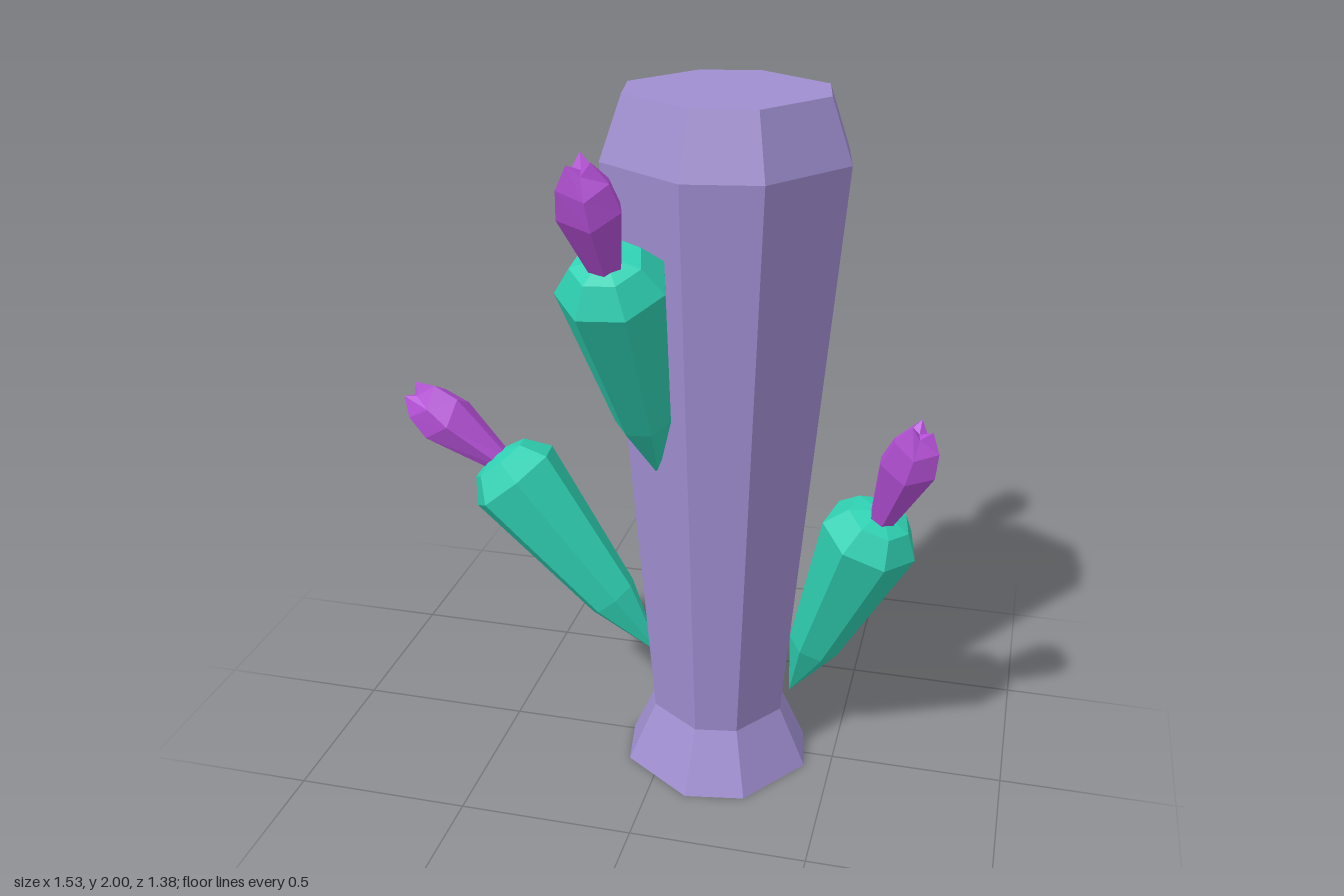
import * as THREE from 'three';

const Y = new THREE.Vector3(0, 1, 0);

// Faceted closed solid: rings are [height, radius], angles in degrees,
// lobe(ringIndex, sideIndex) optionally scales the radius and shifts the height.
function loft(rings, angles, lobe = () => [1, 0]) {
  const pos = [];
  const n = angles.length;
  const point = (i, j) => {
    const k = j % n;
    const [scale, lift] = rings[i][1] ? lobe(i, k) : [1, 0];
    const a = THREE.MathUtils.degToRad(angles[k]);
    const r = rings[i][1] * scale;
    return [r * Math.cos(a), rings[i][0] + lift, r * Math.sin(a)];
  };
  for (let i = 0; i < rings.length - 1; i++) {
    for (let j = 0; j < n; j++) {
      const a = point(i, j), b = point(i, j + 1);
      const c = point(i + 1, j + 1), d = point(i + 1, j);
      if (rings[i + 1][1] > 0) pos.push(...a, ...d, ...c);
      if (rings[i][1] > 0) pos.push(...a, ...c, ...b);
    }
  }
  const geometry = new THREE.BufferGeometry();
  geometry.setAttribute('position', new THREE.Float32BufferAttribute(pos, 3));
  geometry.computeVertexNormals();
  return geometry;
}

const evenAngles = (n, start = 0) => Array.from({ length: n }, (_, i) => start + (i * 360) / n);

function material(name, color) {
  const m = new THREE.MeshStandardMaterial({ color });
  m.name = name;
  return m;
}

// Places a part made along +y so that it runs from one point towards another
function aim(mesh, name, from, to) {
  const a = new THREE.Vector3(...from);
  const dir = new THREE.Vector3(...to).sub(a).normalize();
  mesh.name = name;
  mesh.position.copy(a);
  mesh.quaternion.setFromUnitVectors(Y, dir);
  return mesh;
}

export function createModel() {
  const model = new THREE.Group();
  model.name = 'cactus';
  const trunkColor = material('lavender', 0xa08ed0);
  const armColor = material('teal', 0x2fd0b2);
  const flowerColor = material('violet', 0xb450d6);

  // Trunk: a square with chamfered corners, flared foot and bevelled top
  const trunkAngles = [0, 1, 2, 3].flatMap((k) => [8 + 90 * k, 62 + 90 * k]);
  const trunk = new THREE.Mesh(
    loft([[0, 0], [0, 0.276], [0.18, 0.195], [1.83, 0.338], [2, 0.278], [2, 0]], trunkAngles),
    trunkColor
  );
  trunk.name = 'trunk';
  trunk.position.set(0.15, 0, 0.025);
  model.add(trunk);

  // Arm: pointed root swelling to a blunt, bevelled cap
  const armGeometry = loft(
    [[0, 0], [0.23, 0.078], [0.69, 0.143], [0.76, 0.092], [0.785, 0]],
    evenAngles(7, 12)
  );

  // Flower: narrow stalk opening into alternating long and short petals
  const flowerGeometry = loft(
    [[-0.03, 0], [-0.03, 0.032], [0.19, 0.086], [0.265, 0.07], [0.315, 0.032], [0.295, 0]],
    evenAngles(6, 20),
    (i, k) => (i < 2 ? [1, 0] : k % 2 ? [0.84, -0.02] : [1.03, 0.008])
  );

  const arms = [
    { name: 'front', root: [0.01, 0.98, 0.2], cap: [-0.035, 1.69, 0.525],
      bud: [-0.03, 1.65, 0.525], tip: [-0.055, 1.94, 0.645] },
    { name: 'right', root: [-0.02, 0.32, 0.06], cap: [-0.52, 0.925, 0.052],
      bud: [-0.51, 0.905, 0.05], tip: [-0.745, 1.09, 0.056] },
    { name: 'left', root: [0.34, 0.13, -0.13], cap: [0.61, 0.855, 0.02],
      bud: [0.61, 0.84, 0.03], tip: [0.705, 1.14, 0.08] },
    { name: 'back', root: [0.15, 0.88, -0.2], cap: [0.205, 1.585, -0.53],
      bud: [0.21, 1.55, -0.525], tip: [0.23, 1.835, -0.66] },
  ];
  for (const { name, root, cap, bud, tip } of arms) {
    model.add(aim(new THREE.Mesh(armGeometry, armColor), name + 'Arm', root, cap));
    model.add(aim(new THREE.Mesh(flowerGeometry, flowerColor), name + 'Flower', bud, tip));
  }
  return model;
}
